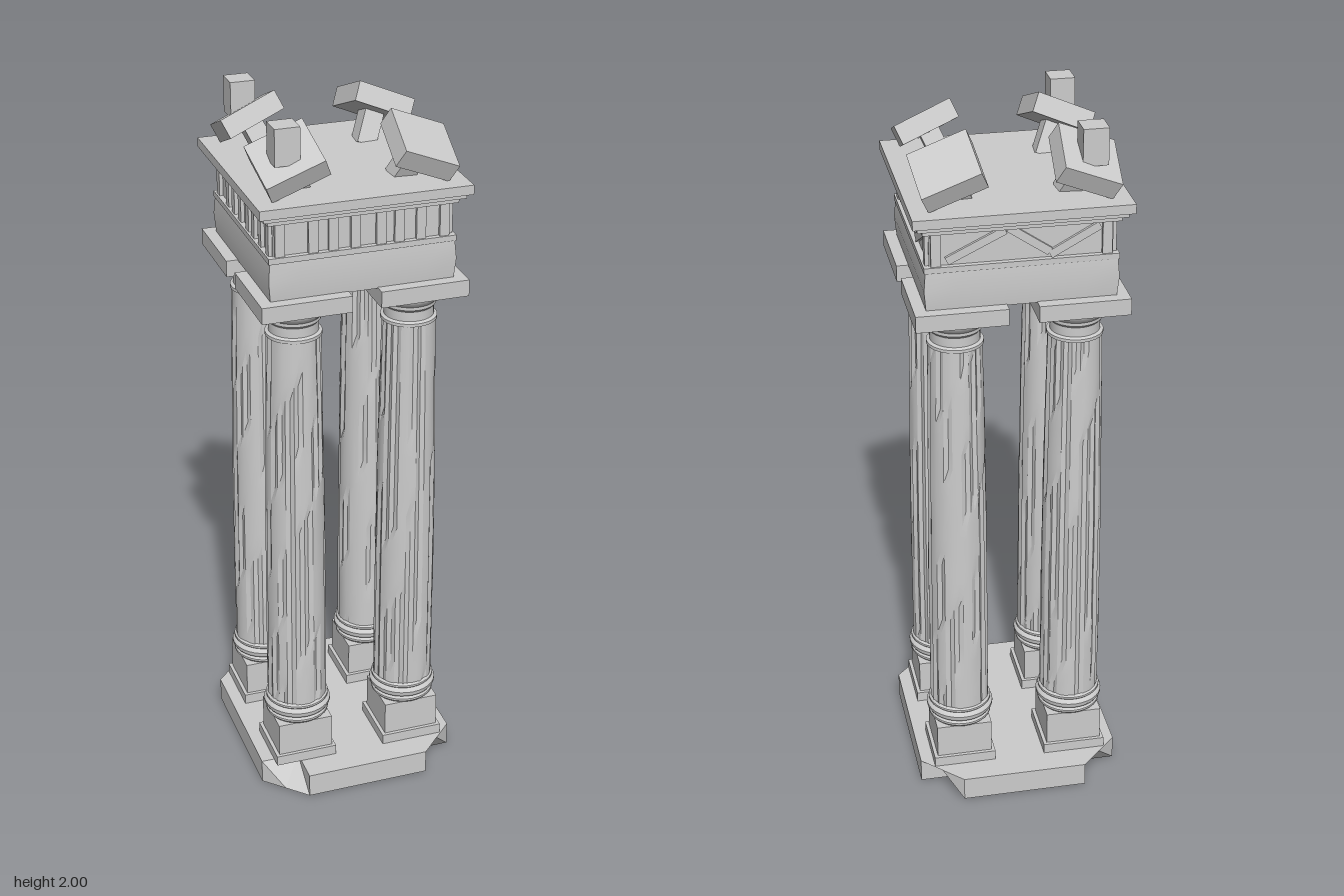
import * as THREE from 'three';
import { toCreasedNormals } from 'three/addons/utils/BufferGeometryUtils.js';

const stone = new THREE.MeshStandardMaterial({ color: 0xcccccc });
stone.name = 'weathered stone';

function add(parent, name, geometry, x = 0, y = 0, z = 0) {
  const mesh = new THREE.Mesh(geometry, stone);
  mesh.name = name;
  mesh.position.set(x, y, z);
  parent.add(mesh);
  return mesh;
}

// Box given by its lower and upper height, centred on x, z
function slab(parent, name, w, d, y0, y1, x = 0, z = 0) {
  return add(parent, name, new THREE.BoxGeometry(w, y1 - y0, d), x, (y0 + y1) / 2, z);
}

// Repeatable pseudo-random value for a pair of whole numbers
function hash(a, b) {
  const s = Math.sin(a * 127.1 + b * 311.7) * 43758.5453;
  return s - Math.floor(s);
}

// Ground slab with broken corners: notched below and cut straight above,
// the front right-hand corner (-x, +z) the other way up
function baseGeometry() {
  const ax = 0.18, az = 0.33, bx = 0.29, bz = 0.22, h = 0.07;
  const corner = [[bx, bz], [ax, bz], [ax, az]];
  const flip = [...corner].reverse();
  const outline = [
    ...corner,
    ...flip.map(([x, z]) => [-x, z]),
    ...corner.map(([x, z]) => [-x, -z]),
    ...flip.map(([x, z]) => [x, -z]),
  ].map(([x, z]) => new THREE.Vector2(x, z));
  const g = new THREE.ExtrudeGeometry(new THREE.Shape(outline), { depth: h, bevelEnabled: false });
  g.rotateX(-Math.PI / 2);
  const p = g.attributes.position;
  for (let i = 0; i < p.count; i++) {
    const x = p.getX(i), z = p.getZ(i);
    const inner = Math.abs(Math.abs(x) - ax) < 1e-4 && Math.abs(Math.abs(z) - bz) < 1e-4;
    const upright = !(x < 0 && z > 0);
    if (inner && (p.getY(i) > h / 2) === upright) {
      p.setX(i, Math.sign(x) * (ax + bx) / 2);
      p.setZ(i, Math.sign(z) * (az + bz) / 2);
    }
  }
  return toCreasedNormals(g, 0.1);
}

// Tapering shaft with broken flutes worn into the surface
function shaftGeometry(seed) {
  const sides = 40, rows = 26, y0 = 0.25, y1 = 1.415;
  const g = new THREE.CylinderGeometry(1, 1, y1 - y0, sides, rows, true);
  const p = g.attributes.position;
  for (let i = 0; i < p.count; i++) {
    const row = Math.floor(i / (sides + 1));
    const side = (i % (sides + 1)) % sides;
    const t = 1 - row / rows;
    let r = 0.086 + 0.003 * Math.sin(t * Math.PI) - 0.012 * t;
    const worn = hash(side + seed * 50, Math.floor((row + side * 3) / 5)) > 0.45;
    if (side % 2 && worn) r -= 0.006;
    r -= 0.0015 * hash(side + seed * 17, Math.floor(row / 4) + 90);
    p.setX(i, p.getX(i) * r);
    p.setZ(i, p.getZ(i) * r);
  }
  g.translate(0, (y0 + y1) / 2, 0);
  return toCreasedNormals(g, 0.4);
}

function lathe(points) {
  const g = new THREE.LatheGeometry(points.map(([r, y]) => new THREE.Vector2(r, y)), 32);
  return toCreasedNormals(g, 0.6);
}

function column(sx, sz, seed) {
  const c = new THREE.Group();
  c.name = 'column';
  slab(c, 'plinth', 0.18, 0.18, 0.07, 0.1);
  slab(c, 'pedestal', 0.16, 0.16, 0.1, 0.2);
  add(c, 'baseRings', lathe([
    [0, 0.198], [0.084, 0.2], [0.09, 0.207], [0.09, 0.213], [0.084, 0.22],
    [0.091, 0.224], [0.096, 0.232], [0.096, 0.24], [0.091, 0.247], [0.086, 0.25],
    [0.09, 0.254], [0.09, 0.26], [0.084, 0.266],
  ]));
  add(c, 'shaft', shaftGeometry(seed));
  add(c, 'capital', lathe([
    [0.07, 1.405], [0.077, 1.408], [0.077, 1.417], [0.068, 1.421], [0.068, 1.448],
    [0.074, 1.455], [0.074, 1.464], [0.084, 1.474], [0.09, 1.486], [0.09, 1.496], [0.082, 1.503],
  ]));
  slab(c, 'abacus', 0.246, 0.246, 1.5, 1.546);
  c.position.set(0.163 * sx, 0, 0.163 * sz);
  return c;
}

// Frieze details for one side, facing +z before the group is turned
function friezeSide(angle, cracked) {
  const f = new THREE.Group();
  f.name = 'friezeSide';
  const posts = cracked ? [-0.225, 0.225] : [-0.225, -0.135, -0.08, -0.02, 0.05, 0.1, 0.16, 0.225];
  for (const x of posts) slab(f, 'friezeBlock', 0.026, 0.012, 1.665, 1.76, x, 0.246);
  if (cracked) {
    for (const [x, y, len, tilt] of [[-0.12, 1.715, 0.17, 0.45], [0.02, 1.72, 0.13, -0.6], [0.14, 1.71, 0.15, 0.5]]) {
      const shard = add(f, 'brokenRelief', new THREE.BoxGeometry(len, 0.022, 0.01), x, y, 0.245);
      shard.rotation.z = tilt;
    }
  }
  f.rotation.y = angle;
  return f;
}

// Leaning post carrying a tilted block, as a toppled piece of masonry
function ruin(sx, sz) {
  const r = new THREE.Group();
  r.name = 'roofRuin';
  const tilt = 0.57;
  const out = Math.sin(tilt) / Math.SQRT2;
  const axis = new THREE.Vector3(sx * out, Math.cos(tilt), sz * out);
  const leaning = new THREE.Group();
  leaning.name = 'leaningStone';
  add(leaning, 'tiltedBlock', new THREE.BoxGeometry(0.166, 0.055, 0.166));
  add(leaning, 'leaningPost', new THREE.BoxGeometry(0.055, 0.1, 0.055), 0, -0.07, 0);
  leaning.quaternion.setFromUnitVectors(new THREE.Vector3(0, 1, 0), axis);
  leaning.position.set(0.18 * sx, 1.896, 0.178 * sz);
  r.add(leaning);
  if (sx < 0) slab(r, 'topStub', 0.068, 0.068, 1.9, 2, -0.195, 0.195 * sz);
  return r;
}

export function createModel() {
  const model = new THREE.Group();
  model.name = 'ruinedTemple';
  add(model, 'baseSlab', baseGeometry());

  // Four columns and four roof stones
  let seed = 1;
  for (const sx of [-1, 1]) {
    for (const sz of [-1, 1]) {
      model.add(column(sx, sz, seed++));
      model.add(ruin(sx, sz));
    }
  }

  // Architrave, slightly bowed in the middle and worn upward underneath
  const beam = new THREE.BoxGeometry(0.506, 0.115, 0.506, 6, 2, 6);
  const p = beam.attributes.position;
  for (let i = 0; i < p.count; i++) {
    const x = p.getX(i), y = p.getY(i), z = p.getZ(i);
    const mid = 1 - Math.max(Math.abs(x), Math.abs(z)) / 0.253;
    if (y < -0.05) p.setY(i, y + 0.015 * Math.min(1, mid * 2));
    if (y > -0.01 && y < 0.01) p.setXYZ(i, x * 1.02, y, z * 1.02);
  }
  add(model, 'architrave', toCreasedNormals(beam, 0.3), 0, 1.6005, 0);

  // Frieze and cornice
  slab(model, 'friezeCore', 0.484, 0.484, 1.65, 1.77);
  slab(model, 'friezeLedge', 0.514, 0.514, 1.65, 1.666);
  for (let k = 0; k < 4; k++) model.add(friezeSide(k * Math.PI / 2, k === 1 || k === 2));
  slab(model, 'corniceMoulding', 0.52, 0.52, 1.757, 1.775);
  slab(model, 'corniceUnderside', 0.55, 0.55, 1.772, 1.788);
  slab(model, 'cornice', 0.578, 0.578, 1.786, 1.812);

  return model;
}
